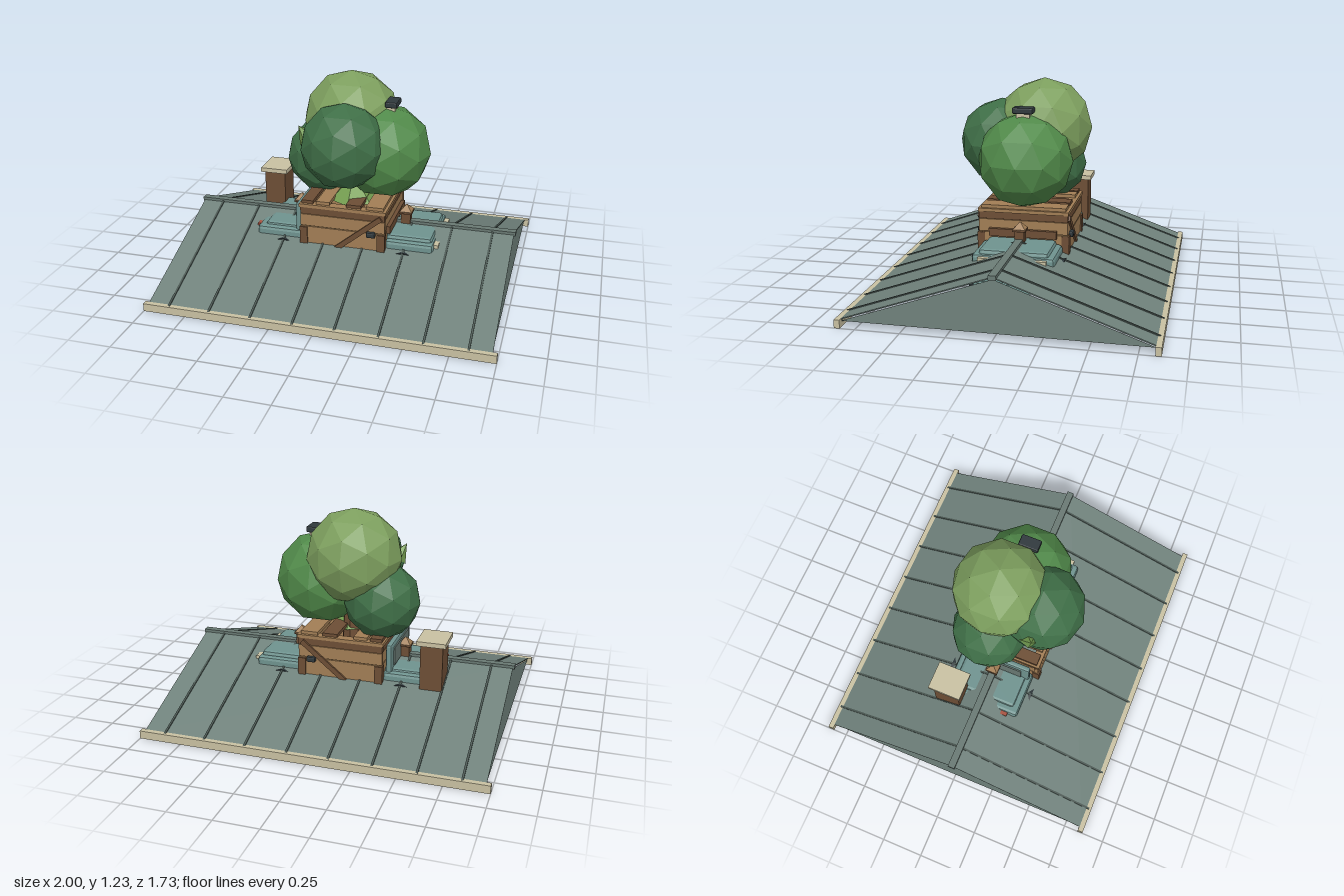
import * as THREE from 'three';
import { RoundedBoxGeometry } from 'three/addons/geometries/RoundedBoxGeometry.js';

const COLORS = {
  roof: 0x70827c, seam: 0x4b5853, ridge: 0x697973, cream: 0xc9c1a2,
  wood: 0xa27e55, woodDark: 0x6d4e35, teal: 0x6f938f, dark: 0x30393d,
  hub: 0x77807f, red: 0xa8523f, soil: 0x3b3a32,
  leafDark: 0x3f6f47, leafMid: 0x518a4a, leafLight: 0x7d9f5e, leafBright: 0x76a052,
};
const mats = {};
for (const k in COLORS) {
  mats[k] = new THREE.MeshStandardMaterial({ color: COLORS[k], flatShading: true });
}
mats.roof.side = THREE.DoubleSide;

function add(parent, name, geo, mat, x = 0, y = 0, z = 0) {
  const m = new THREE.Mesh(geo, mats[mat]);
  m.name = name;
  m.position.set(x, y, z);
  parent.add(m);
  return m;
}

// Box given by its minimum and maximum on each axis
function span(parent, name, mat, x0, x1, y0, y1, z0, z1, round = 0) {
  const s = [x1 - x0, y1 - y0, z1 - z0];
  const geo = round ? new RoundedBoxGeometry(...s, 1, round) : new THREE.BoxGeometry(...s);
  return add(parent, name, geo, mat, (x0 + x1) / 2, (y0 + y1) / 2, (z0 + z1) / 2);
}

function group(parent, name) {
  const g = new THREE.Group();
  g.name = name;
  parent.add(g);
  return g;
}

function buildRoof(root) {
  const roof = group(root, 'roof');
  const run = 0.85, rise = 0.3, len = Math.hypot(run, rise);
  for (const s of [1, -1]) {
    // Sloping sheet with standing seams
    const slope = group(roof, s > 0 ? 'frontSlope' : 'backSlope');
    slope.position.set(0, 0.197, s * run / 2);
    slope.rotation.x = s * Math.atan2(rise, run);
    add(slope, 'roofSheet', new THREE.BoxGeometry(1.95, 0.006, len), 'roof');
    for (const x of [0.12, 0.365, 0.61, 0.85]) {
      for (const side of [1, -1]) {
        add(slope, 'seam', new THREE.BoxGeometry(0.012, 0.01, len), 'seam', side * x, 0.004, 0);
      }
    }
    span(roof, 'eaveBoard', 'cream', -1, 1, 0.008, 0.055, s * 0.85 - 0.016, s * 0.85 + 0.016);
    // Triangular end wall
    const tri = new THREE.Shape([
      new THREE.Vector2(-0.84, 0.04), new THREE.Vector2(0.84, 0.04), new THREE.Vector2(0, 0.335)]);
    const gable = add(roof, 'gable', new THREE.ShapeGeometry(tri), 'roof', s * 0.97);
    gable.rotation.y = s * Math.PI / 2;
  }
  span(roof, 'ridgeCap', 'ridge', -0.985, 0.985, 0.335, 0.36, -0.021, 0.021);
  // Chimney
  span(roof, 'chimney', 'woodDark', -0.61, -0.48, 0.2, 0.53, -0.27, -0.11);
  span(roof, 'chimneyCap', 'cream', -0.63, -0.46, 0.528, 0.555, -0.29, -0.09);
}

function buildTruck(root) {
  const truck = group(root, 'truck');
  span(truck, 'hood', 'teal', 0.25, 0.52, 0.18, 0.34, -0.2, 0.2, 0.02);
  span(truck, 'frontBody', 'teal', 0.25, 0.535, 0.14, 0.315, -0.235, 0.235, 0.02);
  span(truck, 'rearBody', 'teal', -0.54, -0.25, 0.14, 0.315, -0.235, 0.235, 0.02);
  span(truck, 'rearDeck', 'teal', -0.5, -0.25, 0.2, 0.33, -0.2, 0.2, 0.02);
  span(truck, 'cabPanel', 'teal', -0.3, -0.265, 0.2, 0.48, -0.22, 0.22, 0.012);
  span(truck, 'cabPanelTrim', 'ridge', -0.308, -0.298, 0.34, 0.45, -0.17, 0.17);
  span(truck, 'chassis', 'dark', -0.5, 0.5, 0.11, 0.15, -0.12, 0.12);
  for (const x of [1, -1]) {
    span(truck, 'bumper', 'teal', x * 0.545 - 0.015, x * 0.545 + 0.015, 0.11, 0.155, -0.22, 0.22);
    const axle = add(truck, 'axle', new THREE.CylinderGeometry(0.015, 0.015, 0.44, 8), 'dark', x * 0.365, 0.148, 0);
    axle.rotation.x = Math.PI / 2;
    for (const z of [1, -1]) {
      // Wheel with hub and spokes
      const wheel = group(truck, 'wheel');
      wheel.position.set(x * 0.365, 0.148, z * 0.238);
      wheel.rotation.x = z * Math.PI / 2;
      add(wheel, 'tyre', new THREE.CylinderGeometry(0.117, 0.117, 0.062, 14), 'dark');
      add(wheel, 'rim', new THREE.CylinderGeometry(0.062, 0.066, 0.07, 10), 'hub');
      for (let i = 0; i < 3; i++) {
        add(wheel, 'spoke', new THREE.BoxGeometry(0.11, 0.08, 0.014), 'dark').rotation.y = i * Math.PI / 3;
      }
      // Headlights at +x, tail lights at -x
      const lampW = x > 0 ? 0.045 : 0.028;
      span(truck, x > 0 ? 'headlight' : 'tailLight', x > 0 ? 'cream' : 'red',
        x * 0.545 - 0.015, x * 0.545 + 0.015, 0.272, 0.302, z * 0.15 - lampW, z * 0.15 + lampW);
    }
    // Small posts with pointed caps
    span(truck, 'post', 'woodDark', x * 0.33 - 0.028, x * 0.33 + 0.028, 0.1, 0.41, -0.028, 0.028);
    const cap = add(truck, 'postCap', new THREE.ConeGeometry(0.055, 0.045, 4), 'wood', x * 0.33, 0.437, 0);
    cap.rotation.y = Math.PI / 4;
    span(truck, 'postCapRim', 'woodDark', x * 0.33 - 0.038, x * 0.33 + 0.038, 0.405, 0.418, -0.038, 0.038);
  }
}

function buildCrate(root) {
  const crate = group(root, 'crate');
  // Plank rows on all four sides
  const rows = [[0.05, 0.145], [0.15, 0.25], [0.255, 0.363], [0.368, 0.44], [0.443, 0.49]];
  rows.forEach(([y0, y1], i) => {
    const mat = i === 4 ? 'woodDark' : 'wood';
    for (const s of [1, -1]) {
      span(crate, 'longPlank', mat, -0.255, 0.255, y0, y1, s * 0.25 - 0.013, s * 0.25 + 0.013);
      span(crate, 'endPlank', mat, s * 0.24 - 0.012, s * 0.24 + 0.012, y0, y1, -0.24, 0.24);
    }
  });
  for (const s of [1, -1]) {
    span(crate, 'topRail', 'wood', -0.262, 0.262, 0.485, 0.505, s * 0.24 - 0.028, s * 0.24 + 0.028);
    span(crate, 'topEndRail', 'wood', s * 0.235 - 0.027, s * 0.235 + 0.027, 0.485, 0.505, -0.22, 0.22);
    // Bottom frame with central opening
    span(crate, 'floorBoard', 'woodDark', -0.26, 0.26, 0.042, 0.065, s * 0.19 - 0.075, s * 0.19 + 0.075);
    span(crate, 'floorEnd', 'woodDark', s * 0.195 - 0.065, s * 0.195 + 0.065, 0.042, 0.065, -0.12, 0.12);
    for (const x of [1, -1]) {
      span(crate, 'cornerPost', 'woodDark', x * 0.235 - 0.023, x * 0.235 + 0.023, 0.05, 0.36, s * 0.25 - 0.022, s * 0.25 + 0.022);
    }
    // Diagonal brace and dark latch
    const brace = add(crate, 'brace', new THREE.BoxGeometry(0.345, 0.03, 0.014), 'woodDark', 0.1, 0.355, s * 0.268);
    brace.rotation.z = Math.atan2(0.21, 0.255);
    span(crate, 'latch', 'dark', 0.148, 0.202, 0.342, 0.376, s * 0.272 - 0.014, s * 0.272 + 0.014, 0.008);
  }
  // Slats across the top
  for (const [x0, x1] of [[-0.25, -0.18], [-0.16, -0.08], [0.02, 0.11], [0.14, 0.245]]) {
    span(crate, 'topSlat', x0 < -0.17 || x0 === 0.02 ? 'woodDark' : 'wood', x0, x1, 0.503, 0.524, -0.25, 0.25);
  }
  span(crate, 'sideCleat', 'woodDark', 0.25, 0.275, 0.345, 0.39, -0.2, 0.2);
}

function buildTree(root) {
  const tree = group(root, 'tree');
  add(tree, 'trunk', new THREE.CylinderGeometry(0.05, 0.08, 0.6, 8), 'woodDark', 0, 0.45, 0);
  add(tree, 'rootBall', new THREE.IcosahedronGeometry(0.125, 1), 'soil', 0, 0.15, 0);
  const blobs = [
    ['frontFoliage', 'leafDark', 0.255, -0.01, 0.86, 0.18],
    ['leftFoliage', 'leafMid', 0.28, 0.185, 0.79, 0],
    ['topFoliage', 'leafLight', 0.285, -0.03, 0.955, -0.07],
    ['rightFoliage', 'leafDark', 0.228, -0.2, 0.7, -0.07],
  ];
  for (const [name, mat, r, x, y, z] of blobs) {
    add(tree, name, new THREE.IcosahedronGeometry(r, 1), mat, x, y, z);
  }
  add(tree, 'lowFoliage', new THREE.ConeGeometry(0.14, 0.15, 6), 'leafBright', 0.015, 0.565, 0.06);
  // Pointed leaf tuft
  const tuft = add(tree, 'leafTuft', new THREE.ConeGeometry(0.06, 0.11, 5), 'leafBright', -0.245, 0.925, 0.2);
  tuft.rotation.set(0.3, 0, 0.5);
  // Small dark box on a pale mount
  const box = group(tree, 'lookoutBox');
  box.position.set(0.235, 1.085, 0);
  span(box, 'boxBody', 'dark', -0.036, 0.036, -0.018, 0.018, -0.06, 0.06, 0.008);
  span(box, 'boxMount', 'cream', -0.03, 0.02, -0.05, -0.016, -0.038, 0.038);
}

export function createModel() {
  const root = new THREE.Group();
  root.name = 'rooftopTruckWithTree';
  buildRoof(root);
  buildTruck(root);
  buildCrate(root);
  buildTree(root);
  return root;
}
